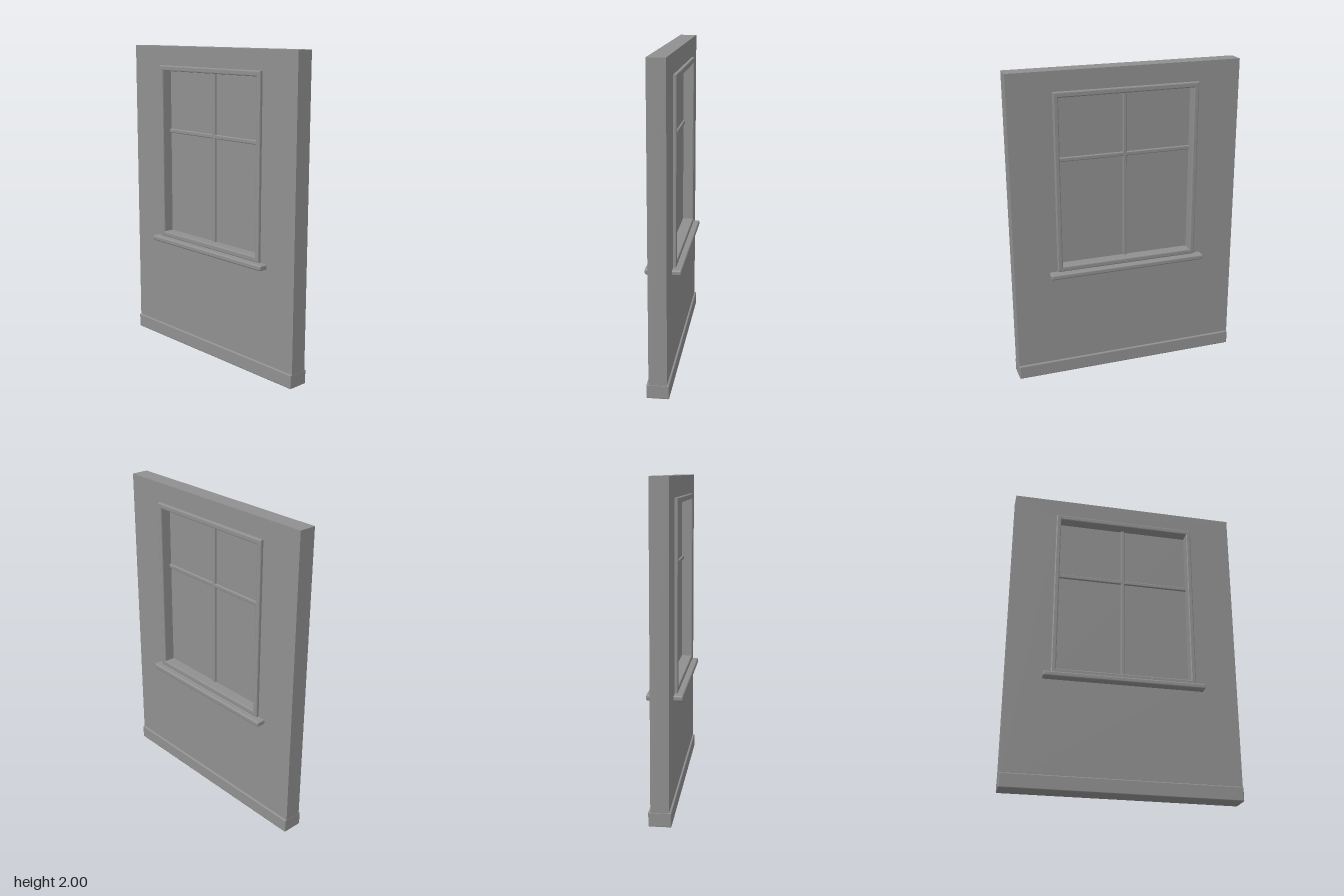
import * as THREE from 'three';
import { RoundedBoxGeometry } from 'three/addons/geometries/RoundedBoxGeometry.js';

// Axis-aligned rectangle, as a shape or a hole
function rect(Type, x0, y0, x1, y1) {
  const p = new Type();
  p.moveTo(x0, y0);
  p.lineTo(x1, y0);
  p.lineTo(x1, y1);
  p.lineTo(x0, y1);
  p.closePath();
  return p;
}

export function createModel() {
  const group = new THREE.Group();
  const plaster = new THREE.MeshStandardMaterial({ color: 0x909090 });
  plaster.name = 'plaster grey';

  function add(name, geometry, x = 0, y = 0, z = 0) {
    const mesh = new THREE.Mesh(geometry, plaster);
    mesh.name = name;
    mesh.position.set(x, y, z);
    group.add(mesh);
  }

  // Wall slab with the window opening
  const wall = rect(THREE.Shape, -0.739, 0.002, 0.739, 2);
  wall.holes.push(rect(THREE.Path, -0.45, 0.745, 0.45, 1.86));
  add('wall', new THREE.ExtrudeGeometry(wall, { depth: 0.11, bevelEnabled: false }), 0, 0, -0.055);

  // Window casing through the full wall depth, with bevelled lips on both faces
  const b = 0.007;
  const casing = rect(THREE.Shape, -0.464 + b, 0.728 + b, 0.464 - b, 1.876 - b);
  casing.holes.push(rect(THREE.Path, -0.432 - b, 0.762 - b, 0.432 + b, 1.842 + b));
  add('windowCasing', new THREE.ExtrudeGeometry(casing, {
    depth: 0.15 - 2 * b, bevelSize: b, bevelThickness: b, bevelSegments: 2,
  }), 0, 0, -0.075 + b);

  // Pane and crossing glazing bars
  add('pane', new THREE.BoxGeometry(0.88, 1.1, 0.008), 0, 1.302, 0);
  add('verticalBar', new RoundedBoxGeometry(0.026, 1.1, 0.032, 2, 0.006), 0, 1.302, 0);
  add('horizontalBar', new RoundedBoxGeometry(0.88, 0.026, 0.032, 2, 0.006), 0, 1.445, 0);

  // Sill projecting on both faces
  add('sill', new RoundedBoxGeometry(1.03, 0.034, 0.222, 2, 0.01), 0, 0.71, 0);

  // Baseboard wrapping the foot of the wall
  add('baseboard', new RoundedBoxGeometry(1.48, 0.09, 0.136, 2, 0.007), 0, 0.045, 0);

  return group;
}
